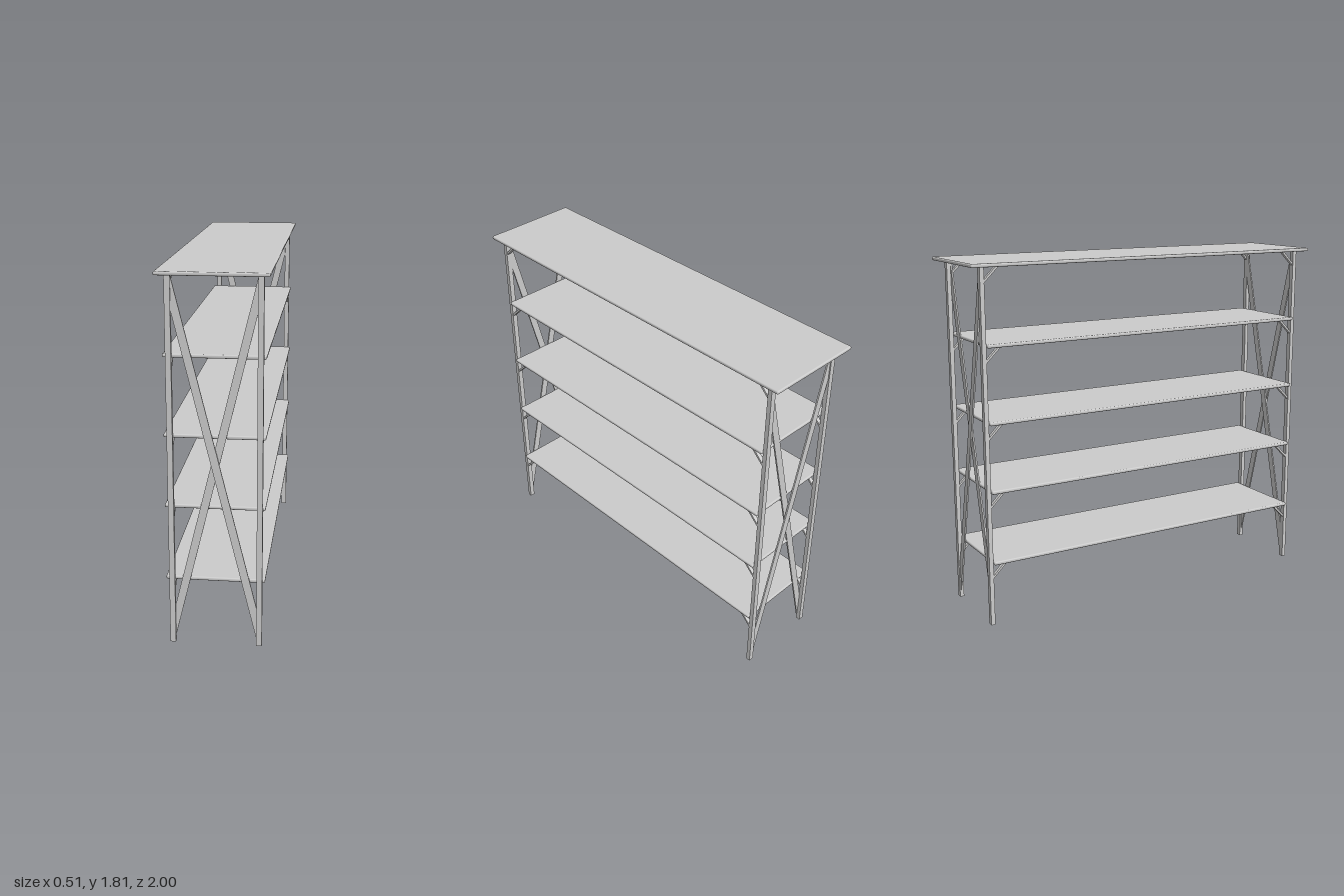
import * as THREE from 'three';
import { RoundedBoxGeometry } from 'three/addons/geometries/RoundedBoxGeometry.js';

const material = new THREE.MeshStandardMaterial({ color: 0xcccccc });

function add(parent, name, geometry, x = 0, y = 0, z = 0) {
  const mesh = new THREE.Mesh(geometry, material);
  mesh.name = name;
  mesh.position.set(x, y, z);
  parent.add(mesh);
  return mesh;
}

// Flat strip cut from an outline, centred on its own thickness
function strip(points, depth) {
  const shape = new THREE.Shape(points.map(([x, y]) => new THREE.Vector2(x, y)));
  const geometry = new THREE.ExtrudeGeometry(shape, { depth, bevelEnabled: false });
  return geometry.translate(0, 0, -depth / 2);
}

export function createModel() {
  const model = new THREE.Group();
  model.name = 'shelvingUnit';

  // Boards: one overhanging top and four shelves held between the end frames
  const topY = 1.802, thickness = 0.018;
  const shelfHeights = [0.33, 0.697, 1.042, 1.42];
  add(model, 'topBoard', new RoundedBoxGeometry(0.512, thickness, 2, 3, 0.007), 0, topY, 0);
  const shelf = new RoundedBoxGeometry(0.474, thickness, 1.844, 3, 0.007);
  shelfHeights.forEach((y) => add(model, 'shelf', shelf, 0, y, 0));

  const leg = new THREE.BoxGeometry(0.027, 1.795, 0.022);

  // Diagonal braces, trimmed upright where they meet the legs
  const fallingBrace = strip([[-0.192, 1.79], [-0.192, 1.63], [0.2, 0.03], [0.2, 0.19]], 0.008);
  const risingBrace = strip([[-0.192, 0.03], [0.2, 1.63], [0.2, 1.79], [-0.192, 0.19]], 0.008);

  // Slanted support: outline drawn in (inward, up), turned so inward runs along z
  const bracket = strip([[0, -0.08], [0.078, -0.004], [0.062, -0.004], [0, -0.066]], 0.02);
  bracket.rotateY(-Math.PI / 2);

  for (const end of [1, -1]) {
    const frame = new THREE.Group();
    frame.name = end > 0 ? 'frontFrame' : 'backFrame';
    model.add(frame);

    for (const x of [-0.205, 0.212]) {
      add(frame, 'leg', leg, x, 0.8975, end * 0.933);
      for (const y of [...shelfHeights, topY]) {
        const support = add(frame, 'bracket', bracket, x, y - 0.005, end * 0.922);
        if (end > 0) support.rotation.y = Math.PI;
      }
    }

    // The two braces lie face to face
    add(frame, 'fallingBrace', fallingBrace, 0, 0, end * 0.934);
    add(frame, 'risingBrace', risingBrace, 0, 0, end > 0 ? 0.926 : -0.92);
  }

  return model;
}
